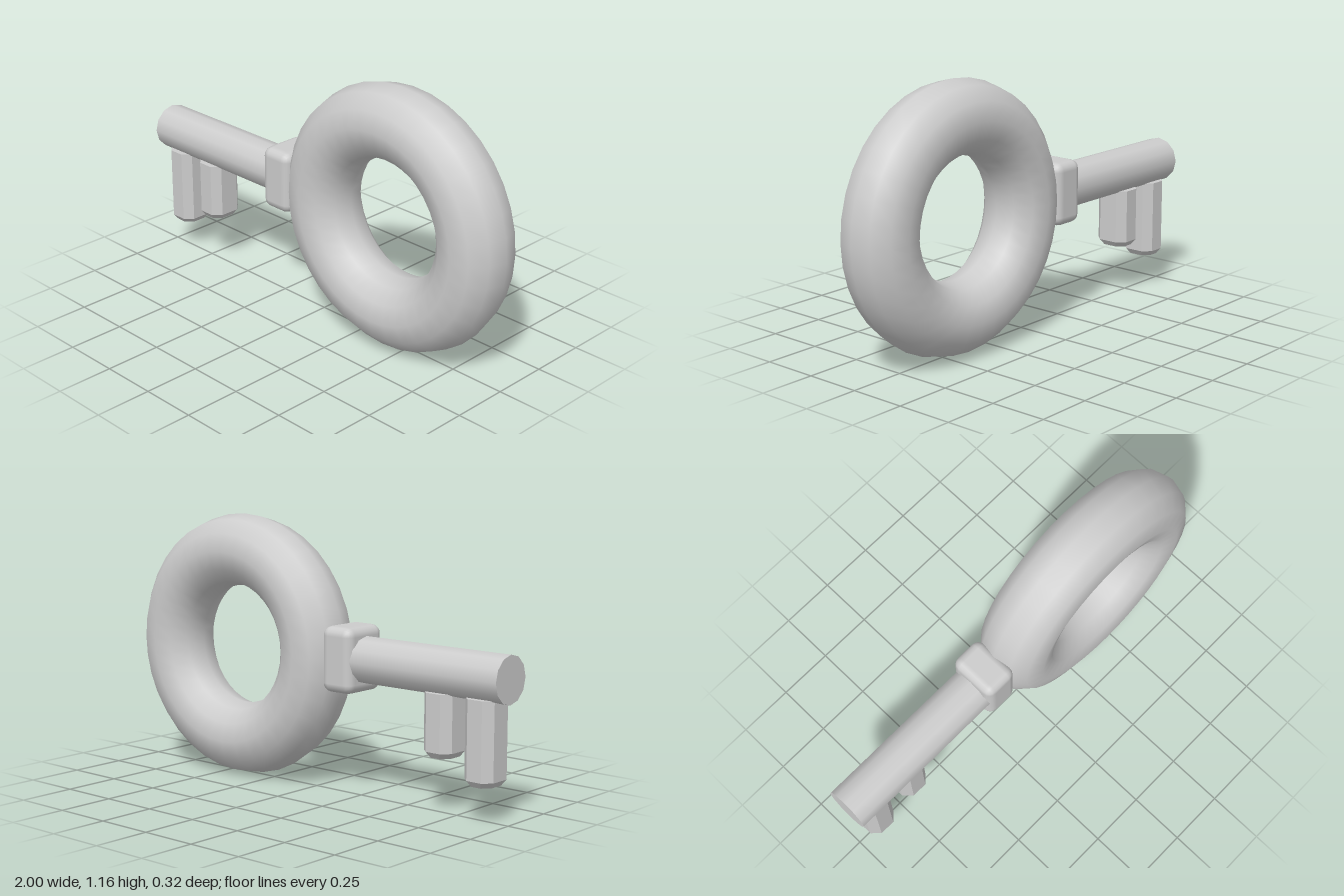
import * as THREE from 'three';
import { RoundedBoxGeometry } from 'three/addons/geometries/RoundedBoxGeometry.js';

// Octagon outline of a chamfered rectangle
function chamferedOutline(width, depth, cut) {
  const w = width / 2, d = depth / 2;
  return [
    [w, d - cut], [w - cut, d], [cut - w, d], [-w, d - cut],
    [-w, cut - d], [cut - w, -d], [w - cut, -d], [w, cut - d],
  ];
}

// Upright chamfered prism with a bevelled bottom, built from stacked sections
function toothGeometry(top, bottom) {
  const bevel = 0.025;
  const side = chamferedOutline(0.14, 0.16, 0.035);
  const tip = chamferedOutline(0.105, 0.125, 0.03);
  const rings = [[tip, bottom], [side, bottom + bevel], [side, top]]
    .map(([outline, y]) => outline.map(([x, z]) => [x, y, z]));
  const positions = [];
  const n = side.length;
  for (let i = 0; i < n; i++) {
    const j = (i + 1) % n;
    for (let r = 0; r < rings.length - 1; r++) {
      const a = rings[r][i], b = rings[r][j], c = rings[r + 1][j], d = rings[r + 1][i];
      positions.push(...a, ...c, ...b, ...a, ...d, ...c);
    }
    positions.push(0, bottom, 0, ...rings[0][i], ...rings[0][j]);
    positions.push(0, top, 0, ...rings[2][j], ...rings[2][i]);
  }
  const geometry = new THREE.BufferGeometry();
  geometry.setAttribute('position', new THREE.Float32BufferAttribute(positions, 3));
  geometry.computeVertexNormals();
  return geometry;
}

export function createModel() {
  const key = new THREE.Group();
  key.name = 'key';
  const metal = new THREE.MeshStandardMaterial({ color: 0xcccccc });
  metal.name = 'grey metal';
  const axisY = 0.582;

  const add = (name, geometry, x, y) => {
    const mesh = new THREE.Mesh(geometry, metal);
    mesh.name = name;
    mesh.position.set(x, y, 0);
    key.add(mesh);
    return mesh;
  };

  // Ring handle
  add('bow', new THREE.TorusGeometry(0.42, 0.158, 12, 36), 0.422, 0.578);

  // Collar between handle and shaft
  add('collar', new RoundedBoxGeometry(0.16, 0.28, 0.224, 2, 0.04), -0.195, axisY);

  // Round shaft
  const shaft = add('shaft', new THREE.CylinderGeometry(0.1, 0.1, 0.8, 12), -0.6, axisY);
  shaft.rotation.z = Math.PI / 2;

  // Long and short teeth under the shaft end
  add('longTooth', toothGeometry(0.5, 0.148), -0.888, 0);
  add('shortTooth', toothGeometry(0.5, 0.235), -0.685, 0);

  return key;
}
